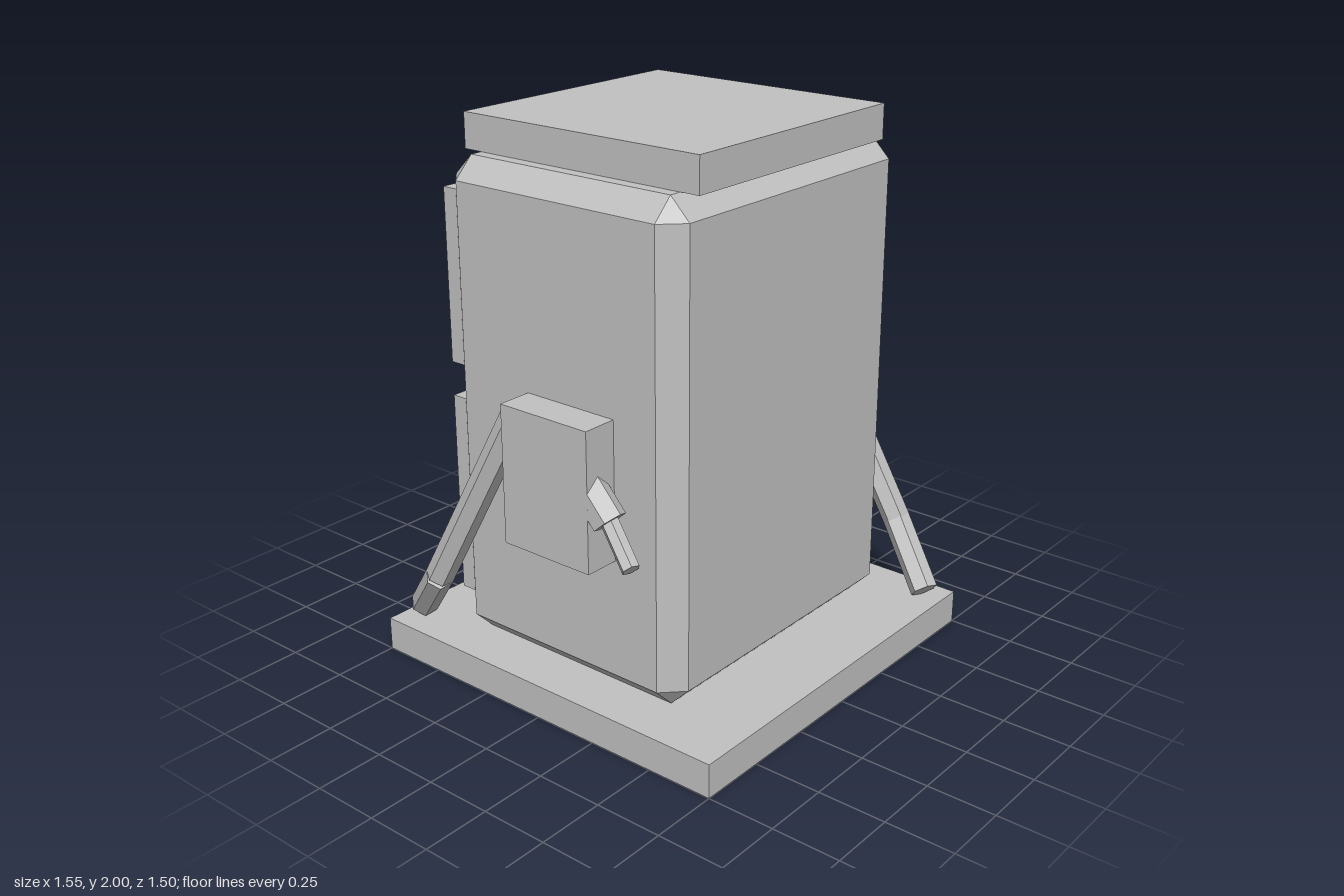
import * as THREE from 'three';
import { ConvexGeometry } from 'three/addons/geometries/ConvexGeometry.js';

export function createModel() {
  const model = new THREE.Group();
  model.name = 'boxyRobot';
  const grey = new THREE.MeshStandardMaterial({ color: 0xc0c0c0, flatShading: true });
  grey.name = 'plain grey';

  const add = (parent, name, geometry) => {
    const mesh = new THREE.Mesh(geometry, grey);
    mesh.name = name;
    parent.add(mesh);
    return mesh;
  };

  // Box given by its min and max corners
  const box = (parent, name, [x0, y0, z0], [x1, y1, z1]) => {
    const mesh = add(parent, name, new THREE.BoxGeometry(x1 - x0, y1 - y0, z1 - z0));
    mesh.position.set((x0 + x1) / 2, (y0 + y1) / 2, (z0 + z1) / 2);
  };

  // Six-sided rod from a to b; flat = true turns a flat side outward, else an edge
  const rod = (parent, name, a, b, radius, flat = false) => {
    const start = new THREE.Vector3(...a), end = new THREE.Vector3(...b);
    const axis = end.clone().sub(start);
    const length = axis.length();
    axis.normalize();
    const out = new THREE.Vector3(1, 0, 0);
    out.addScaledVector(axis, -out.dot(axis)).normalize();
    const side = axis.clone().cross(out);
    const geometry = new THREE.CylinderGeometry(radius, radius, length, 6);
    if (flat) geometry.rotateY(Math.PI / 6);
    geometry.applyMatrix4(new THREE.Matrix4().makeBasis(side, axis, out));
    const mesh = add(parent, name, geometry);
    mesh.position.copy(start).add(end).multiplyScalar(0.5);
  };

  // Base plate and lid
  box(model, 'basePlate', [-0.75, 0, -0.75], [0.75, 0.125, 0.75]);
  box(model, 'lid', [-0.5, 1.875, -0.5], [0.5, 2, 0.5]);

  // Body: box with every edge bevelled
  const half = [0.62, 0.875, 0.5], bevel = 0.075;
  const points = [];
  for (const sx of [-1, 1]) for (const sy of [-1, 1]) for (const sz of [-1, 1])
    for (let full = 0; full < 3; full++) {
      const [x, y, z] = half.map((h, i) => (i === full ? h : h - bevel));
      points.push(new THREE.Vector3(sx * x, sy * y, sz * z));
    }
  add(model, 'body', new ConvexGeometry(points)).position.y = 1;

  // Back panels and the strip down the middle of the lower one
  box(model, 'upperBackPanel', [-0.56, 1.125, -0.55], [0.56, 1.75, -0.49]);
  box(model, 'lowerBackPanel', [-0.56, 0.25, -0.55], [0.56, 1, -0.49]);
  box(model, 'doorStrip', [-0.01, 0.26, -0.557], [0.01, 0.975, -0.54]);

  // Side assemblies: the second is the first turned half round
  for (const [name, turn] of [['left', 0], ['right', Math.PI]]) {
    const side = new THREE.Group();
    side.name = name + 'Side';
    side.rotation.y = turn;
    box(side, 'shoulderBox', [0.61, 0.63, -0.25], [0.75, 1.13, 0.125]);
    rod(side, 'upperArm', [0.68, 1.06, 0.13], [0.718, 0.37, 0.5], 0.052);
    rod(side, 'lowerArm', [0.718, 0.37, 0.5], [0.63, 0.16, 0.69], 0.052);
    rod(side, 'crankSleeve', [0.698, 1.075, -0.065], [0.698, 0.815, -0.3], 0.06, true);
    rod(side, 'crankRod', [0.695, 0.83, -0.285], [0.742, 0.702, -0.425], 0.032);
    model.add(side);
  }
  return model;
}
